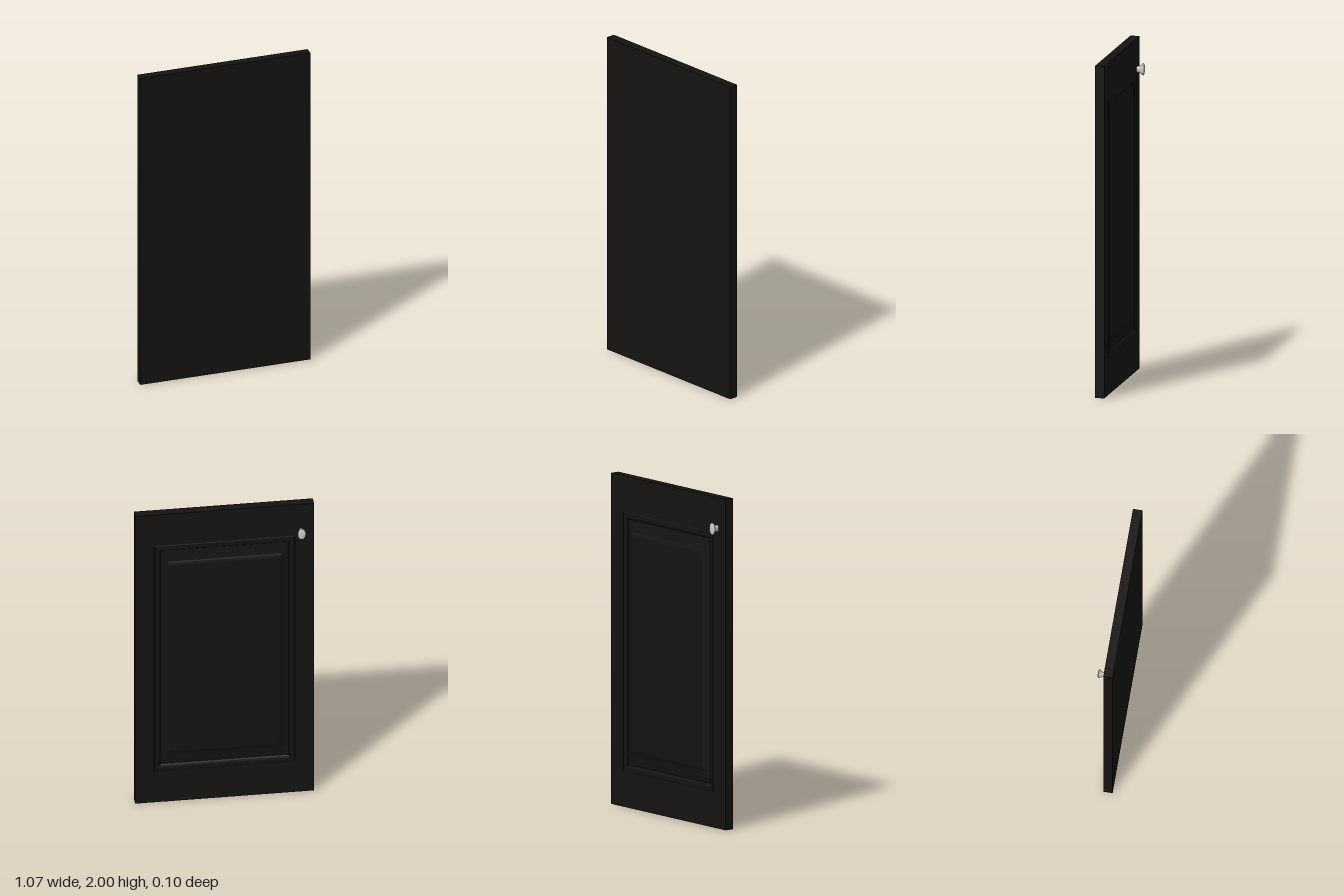
import * as THREE from 'three';

// Stacks rectangular rings [half width, half height, z] from front to back and caps both ends
function rectLoft(rings) {
  const pos = [];
  const loops = rings.map(([w, h, z]) => [[-w, -h, z], [w, -h, z], [w, h, z], [-w, h, z]]);
  const quad = (a, b, c, d) => pos.push(...a, ...b, ...c, ...a, ...c, ...d);
  const first = loops[0], last = loops[loops.length - 1];
  quad(...first);
  for (let r = 0; r < loops.length - 1; r++) {
    for (let i = 0; i < 4; i++) {
      const j = (i + 1) % 4;
      quad(loops[r][i], loops[r + 1][i], loops[r + 1][j], loops[r][j]);
    }
  }
  quad(last[0], last[3], last[2], last[1]);
  const g = new THREE.BufferGeometry();
  g.setAttribute('position', new THREE.Float32BufferAttribute(pos, 3));
  g.computeVertexNormals();
  return g;
}

export function createModel() {
  const group = new THREE.Group();
  group.name = 'cabinetDoor';
  const black = new THREE.MeshStandardMaterial({ color: 0x141311 });
  const grey = new THREE.MeshStandardMaterial({ color: 0xcccccc });

  // Door slab, with a moulded bead, groove and raised centre field on its back
  const door = new THREE.Mesh(rectLoft([
    [0.536, 1.0, 0.05],
    [0.536, 1.0, -0.006],
    [0.422, 0.785, -0.006],
    [0.418, 0.778, -0.009],
    [0.395, 0.757, -0.009],
    [0.387, 0.747, -0.005],
    [0.383, 0.741, 0.003],
    [0.345, 0.67, -0.008],
    [0.341, 0.662, -0.012],
    [0.332, 0.65, -0.016],
    [0.325, 0.642, -0.017],
  ]), black);
  door.name = 'panelledDoor';
  door.position.y = 1;
  group.add(door);

  // Flared oval knob
  const profile = [
    [0.013, 0], [0.013, 0.018], [0.015, 0.022], [0.023, 0.034], [0.0245, 0.038],
    [0.0235, 0.042], [0.018, 0.045], [0.009, 0.0465], [0, 0.047],
  ].map(([r, y]) => new THREE.Vector2(r, y));
  const knobGeometry = new THREE.LatheGeometry(profile, 32);
  knobGeometry.rotateX(-Math.PI / 2);
  knobGeometry.scale(1, 1.5, 1);
  const knob = new THREE.Mesh(knobGeometry, grey);
  knob.name = 'knob';
  knob.position.set(-0.457, 1.814, -0.005);
  group.add(knob);

  return group;
}
